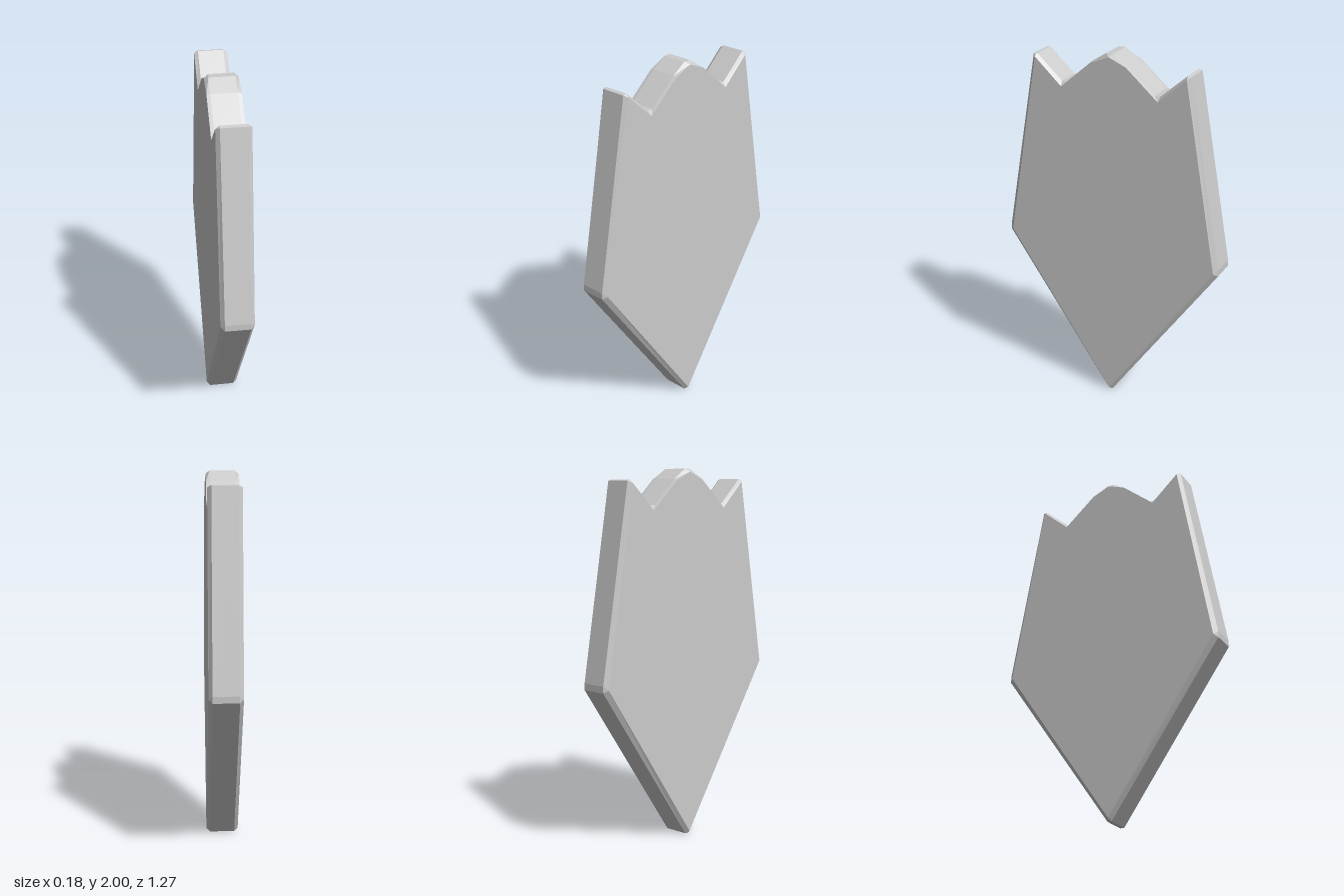
import * as THREE from 'three';

// Half outline of the plate: [outer z, outer y, inset z, inset y], bottom to top
const HALF = [
  [0.012, 0, 0, 0.016],
  [0.633, 0.885, 0.613, 0.9],
  [0.633, 0.92, 0.613, 0.9],
  [0.449, 1.94, 0.432, 1.93],
  [0.43, 1.945, 0.432, 1.93],
  [0.283, 1.815, 0.278, 1.79],
  [0.253, 1.815, 0.278, 1.79],
  [0.1, 1.948, 0.1, 1.944],
  [0.02, 2, 0, 1.985],
];
const FACE_X = 0.088; // flat faces
const RIM_X = 0.068; // edges of the rim band

function createShieldGeometry() {
  // mirror the half outline into a closed loop
  const loop = [...HALF, ...[...HALF].reverse().map(([a, b, c, d]) => [-a, b, -c, d])];
  const outer = loop.map(([z, y]) => new THREE.Vector2(z, y));
  const inner = loop.map((p) => new THREE.Vector2(p[2], p[3]));
  const pos = [];
  const tri = (...pts) => pts.forEach(([x, p]) => pos.push(x, p.y, p.x));

  // bevel, rim, bevel: loft between neighbouring cross-sections
  const rings = [[-FACE_X, inner], [-RIM_X, outer], [RIM_X, outer], [FACE_X, inner]];
  for (let k = 0; k < 3; k++) {
    const [x0, r0] = rings[k];
    const [x1, r1] = rings[k + 1];
    loop.forEach((_, i) => {
      const j = (i + 1) % loop.length;
      if (!r0[i].equals(r0[j])) tri([x0, r0[i]], [x1, r1[j]], [x0, r0[j]]);
      if (!r1[i].equals(r1[j])) tri([x0, r0[i]], [x1, r1[i]], [x1, r1[j]]);
    });
  }

  // flat faces on both sides
  const cap = inner.filter((p, i) => p.distanceTo(inner[(i + 1) % inner.length]) > 1e-6);
  for (const [a, b, c] of THREE.ShapeUtils.triangulateShape(cap, [])) {
    tri([-FACE_X, cap[a]], [-FACE_X, cap[b]], [-FACE_X, cap[c]]);
    tri([FACE_X, cap[a]], [FACE_X, cap[c]], [FACE_X, cap[b]]);
  }

  const geometry = new THREE.BufferGeometry();
  geometry.setAttribute('position', new THREE.Float32BufferAttribute(pos, 3));
  geometry.computeVertexNormals();
  return geometry;
}

export function createModel() {
  const group = new THREE.Group();
  group.name = 'shield';
  const material = new THREE.MeshStandardMaterial({ color: 0xcccccc, flatShading: true });
  const plate = new THREE.Mesh(createShieldGeometry(), material);
  plate.name = 'shieldPlate';
  group.add(plate);
  return group;
}
